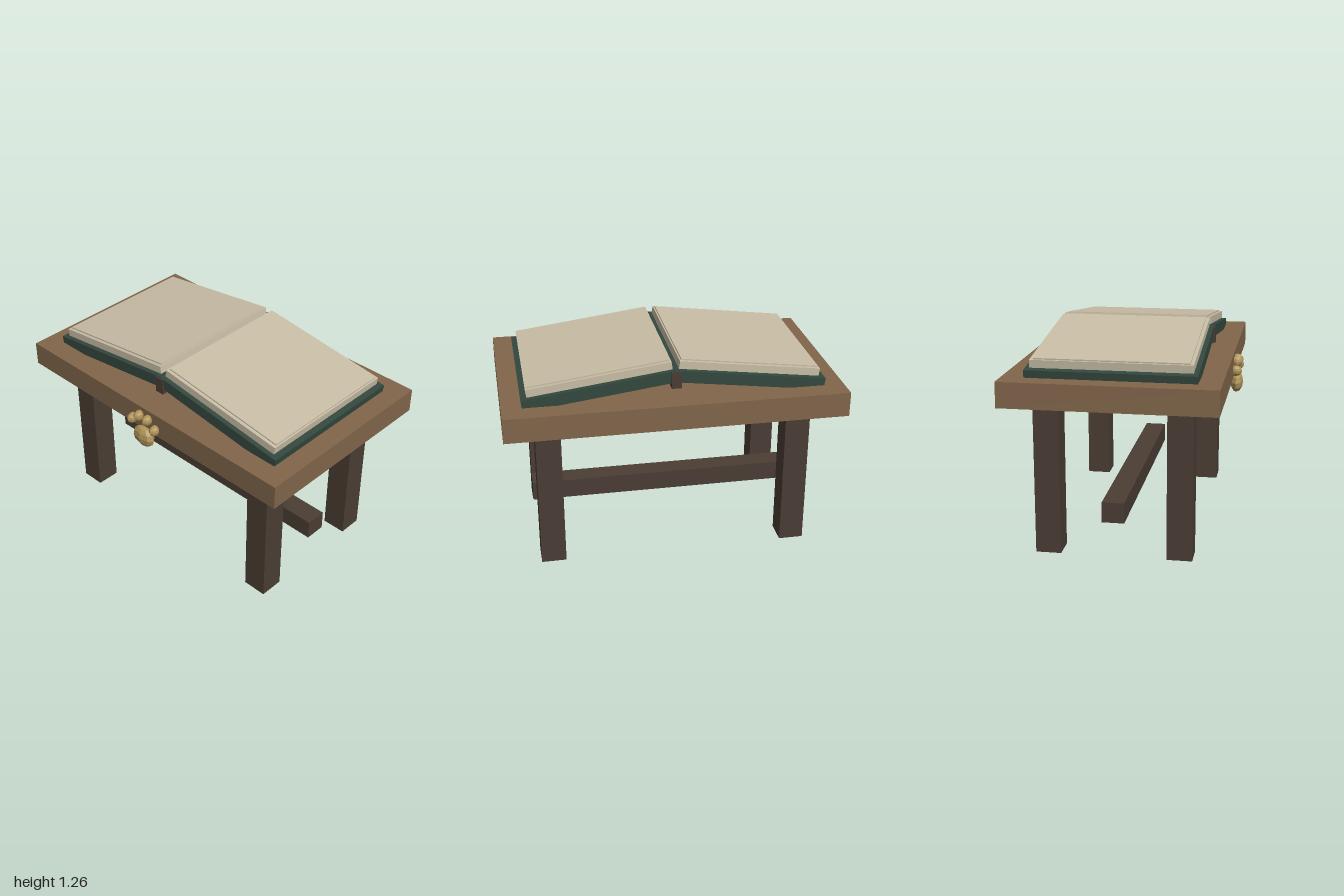
import * as THREE from 'three';

const mat = (color) => new THREE.MeshStandardMaterial({ color, flatShading: true });
const wood = mat(0x80654a);
const darkWood = mat(0x4a3d34);
const leather = mat(0x33483e);
const paper = mat(0xc9beA6);
const brass = mat(0xb0945a);

function add(parent, name, geometry, material, x, y, z) {
  const mesh = new THREE.Mesh(geometry, material);
  mesh.name = name;
  mesh.position.set(x, y, z);
  parent.add(mesh);
  return mesh;
}

const box = (parent, name, material, w, h, d, x, y, z) =>
  add(parent, name, new THREE.BoxGeometry(w, h, d), material, x, y, z);

export function createModel() {
  const model = new THREE.Group();
  model.name = 'bookTable';

  // Table: top slab, four legs and a long stretcher
  const table = new THREE.Group();
  table.name = 'table';
  model.add(table);
  box(table, 'tableTop', wood, 2, 0.148, 1.225, 0, 0.979, -0.0275);
  for (const side of [-1, 1]) {
    const label = side > 0 ? 'Left' : 'Right';
    box(table, 'front' + label + 'Leg', darkWood, 0.148, 0.906, 0.148, side * 0.743, 0.453, 0.355);
    box(table, 'back' + label + 'Leg', darkWood, 0.148, 0.906, 0.148, side * 0.743, 0.453, -0.408);
  }
  box(table, 'stretcher', darkWood, 1.656, 0.12, 0.13, 0, 0.27, -0.025);

  // Open book: two sloping halves hinged at the ridge, local y = 0 is the cover's top
  const book = new THREE.Group();
  book.name = 'book';
  book.position.z = -0.0275;
  model.add(book);
  for (const side of [-1, 1]) {
    const label = side > 0 ? 'left' : 'right';
    const half = new THREE.Group();
    half.name = label + 'Half';
    half.position.y = 1.212;
    half.rotation.z = -side * 0.13;
    book.add(half);
    box(half, label + 'Cover', leather, 0.894, 0.07, 0.966, side * 0.447, -0.035, 0);
    box(half, label + 'Pages', paper, 0.84, 0.046, 0.912, side * 0.438, 0.026, 0);
    box(half, label + 'TopSheet', paper, 0.82, 0.008, 0.871, side * 0.438, 0.053, 0);
  }
  box(book, 'spine', darkWood, 0.058, 0.1, 0.984, 0, 1.157, 0);

  // Brass paw ornament on the front edge
  const paw = new THREE.Group();
  paw.name = 'pawOrnament';
  paw.position.z = 0.6;
  model.add(paw);
  const ball = new THREE.SphereGeometry(1, 8, 6);
  const pad = (name, x, y, rx, ry, rz) =>
    add(paw, name, ball, brass, x, y, 0).scale.set(rx, ry, rz);
  pad('pawPad', 0, 0.867, 0.083, 0.066, 0.04);
  for (const side of [-1, 1]) {
    pad('innerToe', side * 0.035, 0.998, 0.029, 0.033, 0.038);
    pad('outerToe', side * 0.093, 0.953, 0.029, 0.033, 0.038);
  }

  return model;
}
